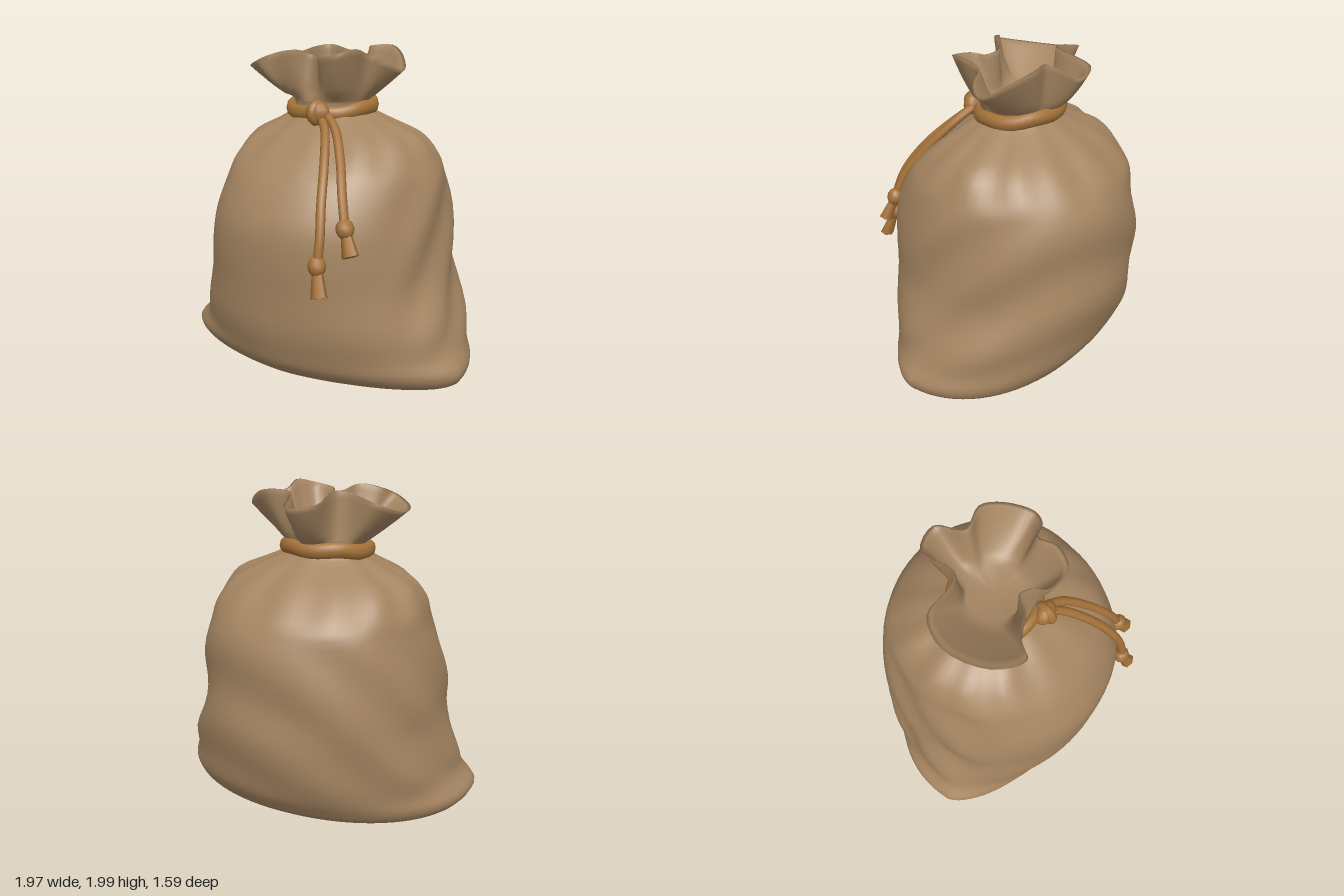
import * as THREE from 'three';

const N = 84; // columns around the sack
const START = -4; // column shift so the mouth folds line up with the neck
const angle = (j) => ((j + START) / N) * Math.PI * 2;
const smooth = THREE.MathUtils.smoothstep;

// Skin a list of equal-length closed rings, ordered bottom to top
function loft(rings) {
  const n = rings[0].length, pos = [], idx = [];
  rings.forEach((r) => r.forEach((p) => pos.push(p.x, p.y, p.z)));
  for (let i = 0; i < rings.length - 1; i++) {
    for (let j = 0; j < n; j++) {
      const k = (j + 1) % n, a = i * n + j, b = a + n, c = i * n + k, d = c + n;
      idx.push(a, b, c, b, d, c);
    }
  }
  const g = new THREE.BufferGeometry();
  g.setAttribute('position', new THREE.Float32BufferAttribute(pos, 3));
  g.setIndex(idx);
  g.computeVertexNormals();
  return g;
}

// Sack sections: y, left x, right x, front z, back z, front roundness, z of the side corners
const SECTIONS = [
  [0.0, -0.86, 0.89, 0.43, -0.51, 1.8, 0.09],
  [0.04, -0.95, 0.96, 0.54, -0.59, 1.7, 0.11],
  [0.12, -0.985, 0.985, 0.63, -0.65, 1.66, 0.12],
  [0.22, -0.9, 0.93, 0.67, -0.71, 1.75, 0.08],
  [0.38, -0.86, 0.88, 0.71, -0.755, 1.9, 0.03],
  [0.6, -0.79, 0.79, 0.72, -0.79, 2.05, -0.02],
  [0.8, -0.77, 0.76, 0.73, -0.785, 2.1, -0.04],
  [1.0, -0.73, 0.735, 0.715, -0.775, 2.1, -0.05],
  [1.2, -0.67, 0.7, 0.62, -0.745, 2.1, -0.06],
  [1.32, -0.64, 0.65, 0.52, -0.68, 2.1, -0.06],
  [1.45, -0.55, 0.55, 0.37, -0.53, 2, -0.06],
  [1.54, -0.37, 0.36, 0.25, -0.38, 2, -0.06],
  [1.61, -0.265, 0.225, 0.18, -0.275, 2, -0.05],
  [1.67, -0.265, 0.225, 0.18, -0.275, 2, -0.05],
];

// Catmull-Rom blend of the sections at t (in section steps)
function sectionAt(t) {
  const last = SECTIONS.length - 1, i = Math.min(Math.floor(t), last - 1), u = t - i;
  const s = (k) => SECTIONS[THREE.MathUtils.clamp(k, 0, last)];
  return s(i).map((p1, k) => {
    const p0 = s(i - 1)[k], p2 = s(i + 1)[k], p3 = s(i + 2)[k];
    return 0.5 * (2 * p1 + (p2 - p0) * u + (2 * p0 - 5 * p1 + 4 * p2 - p3) * u * u
      + (3 * p1 - p0 - 3 * p2 + p3) * u * u * u);
  });
}

function bodyRing(t) {
  const [y, xl, xr, zf, zb, n, zs] = sectionAt(t);
  const pleat = 0.045 * smooth(y, 1.2, 1.5) * (1 - 0.6 * smooth(y, 1.5, 1.62));
  const sag = 0.02 * smooth(y, 0.12, 0.4) * (1 - smooth(y, 1.1, 1.4));
  return Array.from({ length: N }, (_, j) => {
    const a = angle(j), c = Math.cos(a), s = Math.sin(a);
    const e = 2 / (s > 0 ? n : Math.max(n, 2.1)); // the back is rounder than the front
    const x = (c > 0 ? xr : xl) * Math.pow(Math.abs(c), e);
    const z = zs + ((s > 0 ? zf : zb) - zs) * Math.pow(Math.abs(s), e);
    // gathers below the tie; slanted sagging folds on the sides and back
    const gather = 0.6 * Math.cos(13 * a + 1) + 0.4 * Math.cos(8 * a);
    const fold = Math.sin(11 * (y - 0.08 + 1.1 * z - 0.5 * x)) * (1 - smooth(s, 0.2, 0.7));
    const k = 1 + pleat * gather + sag * fold;
    return new THREE.Vector3(x * k, Math.max(0, y), zs + (z - zs) * k);
  });
}

// Wavy rim of the open mouth
const RIM = new THREE.CatmullRomCurve3([
  [0.46, 1.85, -0.08], [0.39, 1.9, 0.01], [0.29, 1.94, 0.04], [0.28, 1.98, 0.17],
  [0.2, 1.95, 0.28], [0.06, 1.93, 0.25], [0.02, 1.92, 0.17], [-0.06, 1.94, 0.13],
  [-0.13, 1.97, 0.21], [-0.27, 1.94, 0.27], [-0.33, 1.9, 0.34], [-0.46, 1.86, 0.2],
  [-0.5, 1.87, -0.08], [-0.4, 1.93, -0.23], [-0.22, 1.98, -0.2], [-0.14, 1.99, -0.23],
  [-0.11, 1.94, -0.46], [0.06, 1.92, -0.49], [0.11, 1.98, -0.31], [0.26, 1.99, -0.32],
  [0.38, 1.93, -0.23],
].map((p) => new THREE.Vector3(...p)), true);

function sackGeometry() {
  const rings = [];
  const steps = (SECTIONS.length - 1) * 3;
  // flat base
  const base = bodyRing(0);
  for (const f of [0, 0.6]) rings.push(base.map((p) => new THREE.Vector3(p.x * f, 0, p.z * f)));
  for (let i = 0; i <= steps; i++) rings.push(bodyRing(i / 3));
  // flared ruffle, folded over the rim and back down inside
  const neck = rings[rings.length - 1];
  const rim = neck.map((_, j) => RIM.getPoint(j / N));
  const ruffle = (f, scale) => neck.map((p, j) => {
    const q = rim[j];
    const x = p.x + (q.x - p.x) * Math.pow(f, 0.9), z = p.z + (q.z - p.z) * Math.pow(f, 0.6);
    return new THREE.Vector3(-0.02 + (x + 0.02) * scale, p.y + (q.y - p.y) * f, -0.05 + (z + 0.05) * scale);
  });
  for (let k = 1; k <= 8; k++) rings.push(ruffle(k / 8, 1));
  for (let k = 8; k >= 0; k--) rings.push(ruffle(k / 8, 0.7 + 0.25 * Math.sqrt(k / 8)));
  rings.push(ruffle(0, 0));
  return loft(rings);
}

// Flattened band wrapped around the neck
function bandGeometry() {
  const rings = [];
  for (let i = 0; i <= 10; i++) {
    const f = -Math.PI + (i / 10) * Math.PI * 2;
    const out = 0.035 * Math.cos(f), up = 0.048 * Math.sin(f);
    rings.push(Array.from({ length: 40 }, (_, j) => {
      const a = (j / 40) * Math.PI * 2, c = Math.cos(a), s = Math.sin(a);
      return new THREE.Vector3(-0.02 + (0.26 + out) * c,
        1.622 - 0.03 * s + up + 0.006 * Math.sin(5 * a), -0.05 + (0.245 + out) * s);
    }));
  }
  return loft(rings);
}

export function createModel() {
  const cloth = new THREE.MeshStandardMaterial({ color: 0xa58561 });
  cloth.name = 'burlap brown';
  const rope = new THREE.MeshStandardMaterial({ color: 0xa57239 });
  rope.name = 'cord ochre';

  const model = new THREE.Group();
  model.name = 'tiedSack';
  const add = (parent, name, geometry, material) => {
    const mesh = new THREE.Mesh(geometry, material);
    mesh.name = name;
    parent.add(mesh);
    return mesh;
  };
  const tube = (points, r) => new THREE.TubeGeometry(
    new THREE.CatmullRomCurve3(points.map((p) => new THREE.Vector3(...p))), 18, r, 8);

  add(model, 'sack', sackGeometry(), cloth);
  add(model, 'neckBand', bandGeometry(), rope);

  // Main knot: a lump with a loop of cord over it
  const knot = new THREE.Group();
  knot.name = 'mainKnot';
  knot.position.set(0.055, 1.605, 0.24);
  model.add(knot);
  add(knot, 'knotCore', new THREE.SphereGeometry(0.075, 12, 8), rope).scale.set(1.05, 0.95, 0.75);
  const wrap = add(knot, 'knotWrap', new THREE.TorusGeometry(0.05, 0.03, 8, 16), rope);
  wrap.rotation.set(0, Math.PI / 2 - 0.25, 0.35);

  // Hanging cords, each ending in a small knot and a frayed tip
  const cords = [
    { path: [[0.08, 1.58, 0.24], [0.15, 1.52, 0.31], [0.25, 1.35, 0.475], [0.315, 1.15, 0.61], [0.345, 0.98, 0.67], [0.345, 0.83, 0.7]], tip: [0.39, 0.665, 0.75] },
    { path: [[0.1, 1.6, 0.22], [0.2, 1.53, 0.28], [0.31, 1.38, 0.4], [0.4, 1.2, 0.525], [0.455, 1.03, 0.585]], tip: [0.515, 0.89, 0.625] },
  ];
  cords.forEach(({ path, tip }, i) => {
    const cord = new THREE.Group();
    cord.name = i ? 'shortCord' : 'longCord';
    model.add(cord);
    add(cord, 'strand', tube(path, 0.027), rope);
    const from = new THREE.Vector3(...path[path.length - 1]), to = new THREE.Vector3(...tip);
    const dir = to.clone().sub(from);
    const turn = new THREE.Quaternion().setFromUnitVectors(new THREE.Vector3(0, -1, 0), dir.clone().normalize());
    const end = add(cord, 'endKnot', new THREE.SphereGeometry(0.055, 9, 6), rope);
    end.position.copy(from);
    end.quaternion.copy(turn);
    end.scale.set(1, 1.1, 0.9);
    const fray = add(cord, 'frayedTip', new THREE.CylinderGeometry(0.028, 0.052, dir.length(), 6), rope);
    fray.position.copy(from).addScaledVector(dir, 0.5);
    fray.quaternion.copy(turn);
    fray.scale.z = 0.75;
  });
  return model;
}
